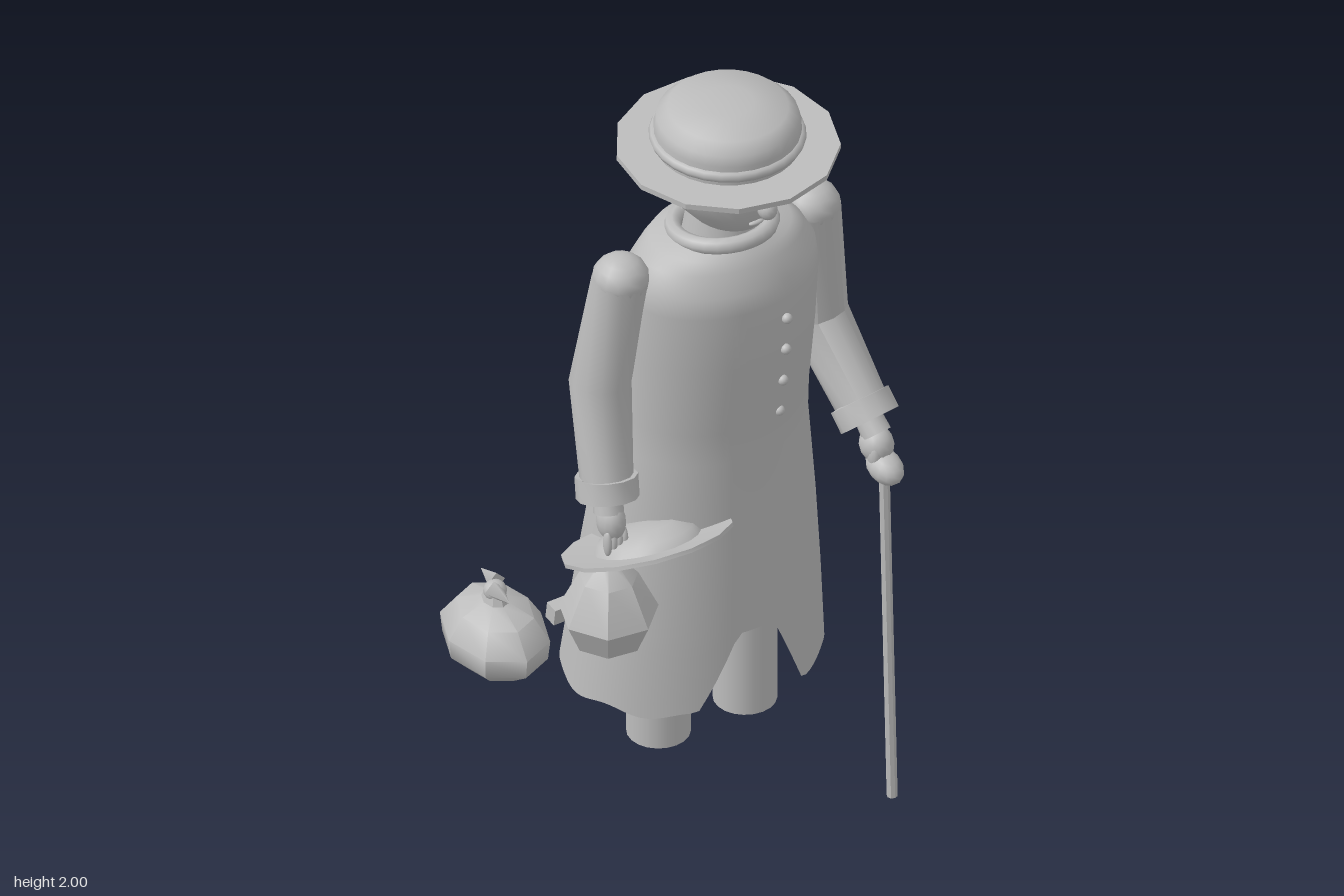
import * as THREE from 'three';
import { toCreasedNormals } from 'three/addons/utils/BufferGeometryUtils.js';

const grey = new THREE.MeshStandardMaterial({ color: 0xbcbcbc, side: THREE.DoubleSide });
grey.name = 'plain grey';
const CX = 0.133; // the figure's own centre line
const V = (x, y, z) => new THREE.Vector3(x, y, z);

// Skin between rings of points; each ring is an array of Vector3
function skin(rings) {
  const n = rings[0].length, pos = [], idx = [];
  rings.forEach(r => r.forEach(p => pos.push(p.x, p.y, p.z)));
  for (let i = 0; i < rings.length - 1; i++) {
    for (let j = 0; j < n; j++) {
      const a = i * n + j, b = i * n + (j + 1) % n;
      idx.push(a, b, a + n, b, b + n, a + n);
    }
  }
  const g = new THREE.BufferGeometry();
  g.setAttribute('position', new THREE.Float32BufferAttribute(pos, 3));
  g.setIndex(idx);
  g.computeVertexNormals();
  return g;
}

// Interpolated oval section from a list of [y, halfWidth, zFront, zBack], lowest first
function sectionAt(list, y) {
  let i = 0;
  while (i < list.length - 2 && y > list[i + 1][0]) i++;
  const a = list[i], b = list[i + 1];
  const t = THREE.MathUtils.clamp((y - a[0]) / (b[0] - a[0]), 0, 1);
  return a.map((v, k) => v + (b[k] - v) * t);
}
function ovalPoint(s, angle, y) {
  return V(CX + Math.sin(angle) * s[1], y, (s[2] + s[3]) / 2 + Math.cos(angle) * (s[2] - s[3]) / 2);
}
const oval = (s, n) => Array.from({ length: n }, (_, j) => ovalPoint(s, j / n * Math.PI * 2, s[0]));

// Limb through [x, y, z, radius] points, with mitred joints
function limb(pts, n = 12) {
  const p = pts.map(a => V(a[0], a[1], a[2]));
  return toCreasedNormals(skin(p.map((c, i) => {
    const dir = V(0, 0, 0);
    if (i > 0) dir.add(p[i].clone().sub(p[i - 1]).normalize());
    if (i < p.length - 1) dir.add(p[i + 1].clone().sub(p[i]).normalize());
    dir.normalize();
    const u = V(1, 0, 0).addScaledVector(dir, -dir.x).normalize();
    const w = dir.clone().cross(u);
    return Array.from({ length: n }, (_, j) => {
      const a = j / n * Math.PI * 2, r = pts[i][3];
      return c.clone().addScaledVector(u, Math.cos(a) * r).addScaledVector(w, Math.sin(a) * r);
    });
  })), 0.7);
}
const lathe = (pts, n) => toCreasedNormals(
  new THREE.LatheGeometry(pts.map(p => new THREE.Vector2(p[0], p[1])), n), 0.75);

export function createModel() {
  const root = new THREE.Group();
  const add = (name, geo, x = 0, y = 0, z = 0, parent = root) => {
    const m = new THREE.Mesh(geo, grey);
    m.name = name;
    m.position.set(x, y, z);
    parent.add(m);
    return m;
  };
  const ball = (name, x, y, z, rx, ry = rx, rz = rx) => {
    const m = add(name, new THREE.SphereGeometry(1, 14, 10), x, y, z);
    m.scale.set(rx, ry, rz);
    return m;
  };

  // Long coat with a flared hem and an open front slit
  const coat = [
    [0.34, 0.322, 0.2, -0.345], [0.57, 0.302, 0.2, -0.305], [0.8, 0.278, 0.2, -0.265],
    [1.06, 0.245, 0.2, -0.22], [1.15, 0.238, 0.207, -0.19], [1.34, 0.24, 0.23, -0.165],
    [1.5, 0.243, 0.235, -0.14], [1.55, 0.235, 0.227, -0.125], [1.6, 0.207, 0.2, -0.1],
    [1.625, 0.175, 0.185, -0.09], [1.645, 0.1, 0.16, -0.05]];
  const COLS = 96, rings = [];
  const hemHeight = a => {
    const dx = Math.abs(Math.sin(a) * 0.31);
    const wave = 0.36 + 0.008 * Math.sin(a * 9);
    if (Math.cos(a) < 0 || dx > 0.14) return wave;
    return THREE.MathUtils.lerp(0.57, wave, THREE.MathUtils.clamp((dx - 0.05) / 0.09, 0, 1));
  };
  for (let k = 0; k < 6; k++) {
    rings.push(Array.from({ length: COLS }, (_, j) => {
      const a = j / COLS * Math.PI * 2;
      const y = THREE.MathUtils.lerp(hemHeight(a), 0.58, k / 5);
      return ovalPoint(sectionAt(coat, y), a, y);
    }));
  }
  coat.slice(2).forEach(s => rings.push(oval(s, COLS)));
  add('coat', skin(rings));
  const collar = add('collar', new THREE.TorusGeometry(0.115, 0.02, 8, 28), CX, 1.64, 0.055);
  collar.rotation.x = Math.PI / 2 - 0.12;
  add('neck', new THREE.CylinderGeometry(0.08, 0.1, 0.12, 18), CX, 1.65, 0.055);
  [[1.445, 0.237], [1.355, 0.232], [1.26, 0.22], [1.165, 0.205]].forEach(([y, z]) =>
    ball('coatButton', 0.195, y, z - 0.004, 0.013));

  // Legs
  for (const x of [0.01, 0.25]) add('leg', new THREE.CylinderGeometry(0.075, 0.075, 0.72, 20), x, 0.555, -0.025);

  // Head
  const head = [
    [1.654, 0.008, 0.08, 0.05], [1.662, 0.045, 0.13, 0.01], [1.69, 0.082, 0.175, -0.035],
    [1.74, 0.125, 0.205, -0.07], [1.79, 0.152, 0.218, -0.085], [1.84, 0.16, 0.22, -0.088],
    [1.9, 0.15, 0.2, -0.075]];
  add('head', skin(head.map(s => oval(s, 28))));
  const hair = add('hair', new THREE.SphereGeometry(1, 28, 10, 0, Math.PI * 2, 0, Math.PI / 2), CX, 1.795, 0.063);
  hair.scale.set(0.168, 0.15, 0.16);
  hair.rotation.x = -0.36;
  for (const s of [-1, 1]) {
    ball('ear', CX + s * 0.153, 1.8, 0.065, 0.016, 0.036, 0.024);
    ball('eye', CX + s * 0.05, 1.832, 0.204, 0.018, 0.011, 0.012);
    const brow = ball('eyebrow', CX + s * 0.052, 1.848, 0.208, 0.028, 0.006, 0.008);
    brow.rotation.z = -s * 0.15;
  }
  ball('noseBridge', CX, 1.81, 0.222, 0.014, 0.035, 0.018);
  ball('noseTip', CX, 1.788, 0.243, 0.023, 0.028, 0.026);
  ball('mouth', CX, 1.722, 0.197, 0.02, 0.006, 0.008);

  // Hat with a flat brim, a band and a domed crown
  const hat = new THREE.Group();
  hat.name = 'hat';
  hat.position.set(CX, 1.873, 0.077);
  hat.rotation.x = 0.025;
  root.add(hat);
  add('hatBrim', toCreasedNormals(new THREE.CylinderGeometry(0.262, 0.262, 0.014, 13), 0.4), 0, 0, 0, hat);
  add('hatCrown', lathe([[0.17, 0], [0.172, 0.06], [0.166, 0.085], [0.14, 0.11],
    [0.06, 0.123], [0, 0.126]].reverse(), 28), 0, 0, 0, hat);
  add('hatBand', new THREE.TorusGeometry(0.168, 0.015, 8, 28), 0, 0.032, 0, hat).rotation.x = Math.PI / 2;

  // Sleeves, cuffs and hands
  const sleeves = [
    { side: 'left', pts: [[0.395, 1.575, 0.035, 0.068], [0.432, 1.23, 0.0, 0.075], [0.452, 1.05, 0.165, 0.062]] },
    { side: 'right', pts: [[-0.135, 1.575, 0.035, 0.068], [-0.172, 1.28, 0.005, 0.073], [-0.2, 1.04, 0.075, 0.062]] }];
  for (const { side, pts } of sleeves) {
    ball(side + 'Shoulder', pts[0][0], pts[0][1], pts[0][2], 0.068, 0.06, 0.068);
    add(side + 'Sleeve', limb(pts));
    const e = V(...pts[1].slice(0, 3)), w = V(...pts[2].slice(0, 3));
    const d = w.clone().sub(e).normalize();
    const at = (t, r) => [...w.clone().addScaledVector(d, t).toArray(), r];
    add(side + 'Cuff', limb([at(-0.02, 0.055), at(-0.02, 0.074), at(0.034, 0.074), at(0.034, 0.05), at(0.0, 0.03)]));
    add(side + 'Wrist', limb([at(0, 0.032), at(0.07, 0.036)]));
  }
  const leftHand = ball('leftHand', 0.455, 0.975, 0.215, 0.04, 0.045, 0.045);
  leftHand.rotation.x = 0.6;
  ball('leftThumb', 0.435, 0.96, 0.235, 0.015, 0.035, 0.02);
  ball('rightHand', -0.205, 0.95, 0.1, 0.033, 0.05, 0.04);
  for (let i = 0; i < 4; i++) ball('rightFinger', -0.228 + i * 0.015, 0.905, 0.12, 0.009, 0.035, 0.014);

  // Walking cane
  add('caneShaft', limb([[0.465, 0, 0.265, 0.013], [0.456, 0.93, 0.245, 0.013]], 8));
  const knob = ball('caneHandle', 0.456, 0.93, 0.248, 0.04, 0.037, 0.056);
  knob.rotation.x = 0.2;

  // Spare hat carried in the right hand, tipped up at the front
  const spare = new THREE.Group();
  spare.name = 'carriedHat';
  spare.position.set(-0.11, 0.845, 0.115);
  spare.rotation.x = -0.42;
  root.add(spare);
  add('carriedBrim', lathe([[0, 0], [0.13, 0], [0.205, 0.012], [0.205, 0.022], [0.12, 0.014], [0, 0.014]], 14), 0, 0, 0, spare);
  add('carriedCrown', lathe([[0.13, 0.01], [0.115, 0.035], [0.07, 0.055], [0, 0.062]].reverse(), 18), 0, 0, 0, spare);

  // Tied bundles: a faceted lower pouch and a rounder one with a knot
  const pouch = add('pouch', lathe([[0, 0.62], [0.085, 0.625], [0.118, 0.7], [0.07, 0.8], [0.02, 0.85]], 7), -0.215, 0, 0.105);
  pouch.rotation.y = 0.3;
  const bundle = add('bundle', lathe([[0, 0.52], [0.065, 0.525], [0.115, 0.575], [0.12, 0.625],
    [0.085, 0.68], [0.03, 0.705], [0.022, 0.73]], 8), -0.41, 0, -0.075);
  bundle.scale.z = 1.32;
  bundle.rotation.y = -0.1;
  ball('bundleKnot', -0.41, 0.73, -0.075, 0.028, 0.025, 0.028);
  for (const s of [-1, 1]) {
    const tie = add('bundleTie', new THREE.ConeGeometry(0.024, 0.065, 4), -0.41 - s * 0.012, 0.742, -0.075 + s * 0.045);
    tie.rotation.x = s * Math.PI / 2;
  }
  // Small box hanging behind the pouch
  const box = add('smallBox', new THREE.BoxGeometry(0.11, 0.045, 0.035), -0.205, 0.605, -0.07);
  box.rotation.x = 0.15;

  return root;
}
